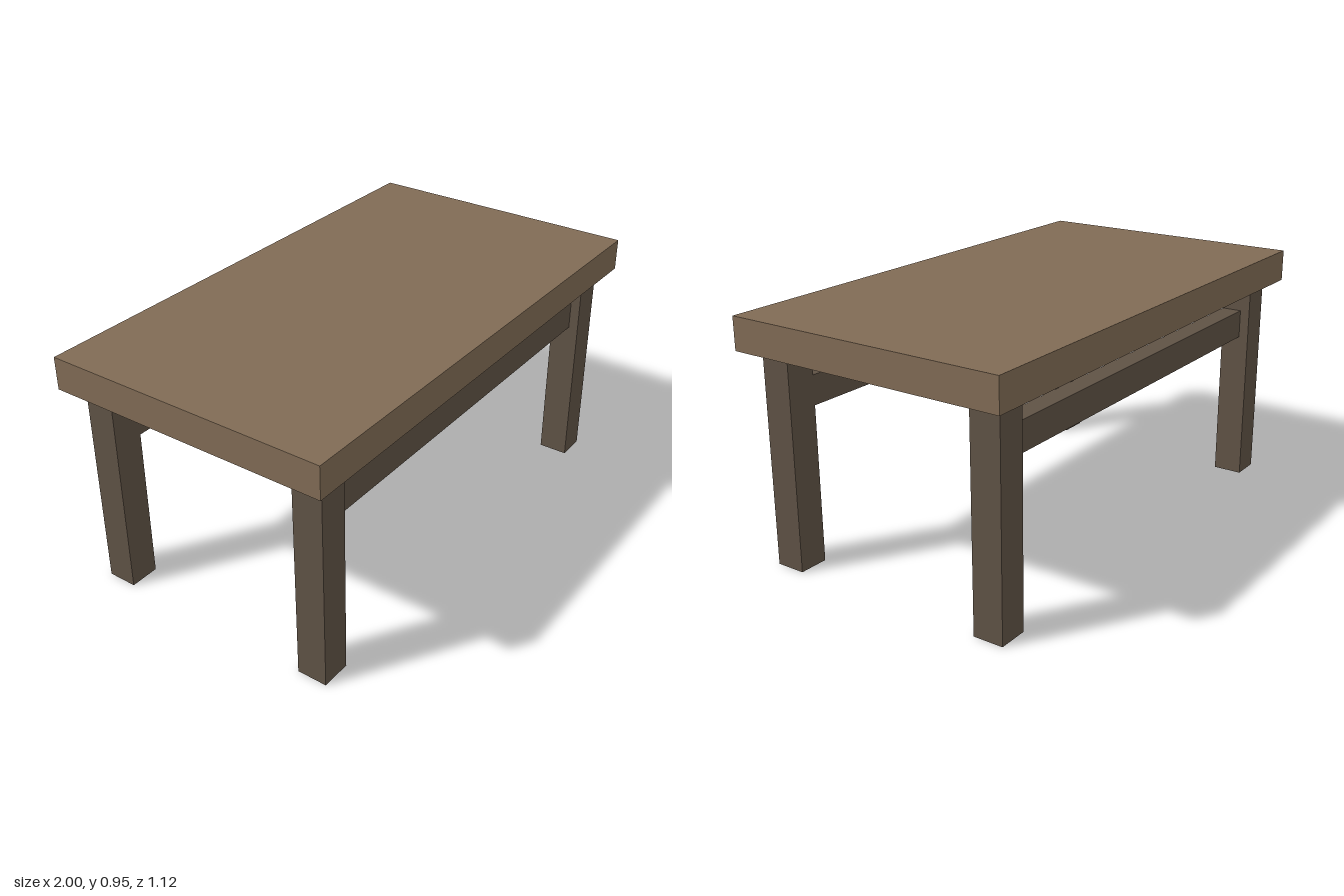
import * as THREE from 'three';

export function createModel() {
  const model = new THREE.Group();
  model.name = 'table';

  const topWood = new THREE.MeshStandardMaterial({ color: 0x806b55 });
  topWood.name = 'light brown wood';
  const frameWood = new THREE.MeshStandardMaterial({ color: 0x5f5245 });
  frameWood.name = 'dark brown wood';

  // Box given by its size, its centre in x and z, and its bottom height
  function addBox(name, material, [w, h, d], x, bottom, z) {
    const mesh = new THREE.Mesh(new THREE.BoxGeometry(w, h, d), material);
    mesh.name = name;
    mesh.position.set(x, bottom + h / 2, z);
    model.add(mesh);
  }

  const legHeight = 0.827;
  const legSize = 0.117;
  const legX = 0.868;
  const legZ = 0.449;

  // Thick slab top
  addBox('tableTop', topWood, [2, 0.125, 1.12], 0, legHeight, 0);

  for (const [side, sz] of [['front', 1], ['back', -1]]) {
    // Square legs, set in from the corners
    for (const [hand, sx] of [['Left', 1], ['Right', -1]]) {
      addBox(`${side}${hand}Leg`, frameWood, [legSize, legHeight, legSize], sx * legX, 0, sz * legZ);
    }
    // Long rail between the legs, flush with their inner faces
    const railDepth = 0.078;
    const railZ = legZ - legSize / 2 + railDepth / 2;
    addBox(`${side}Rail`, frameWood, [2 * legX - legSize, 0.113, railDepth], 0, 0.608, sz * railZ);
  }

  return model;
}
